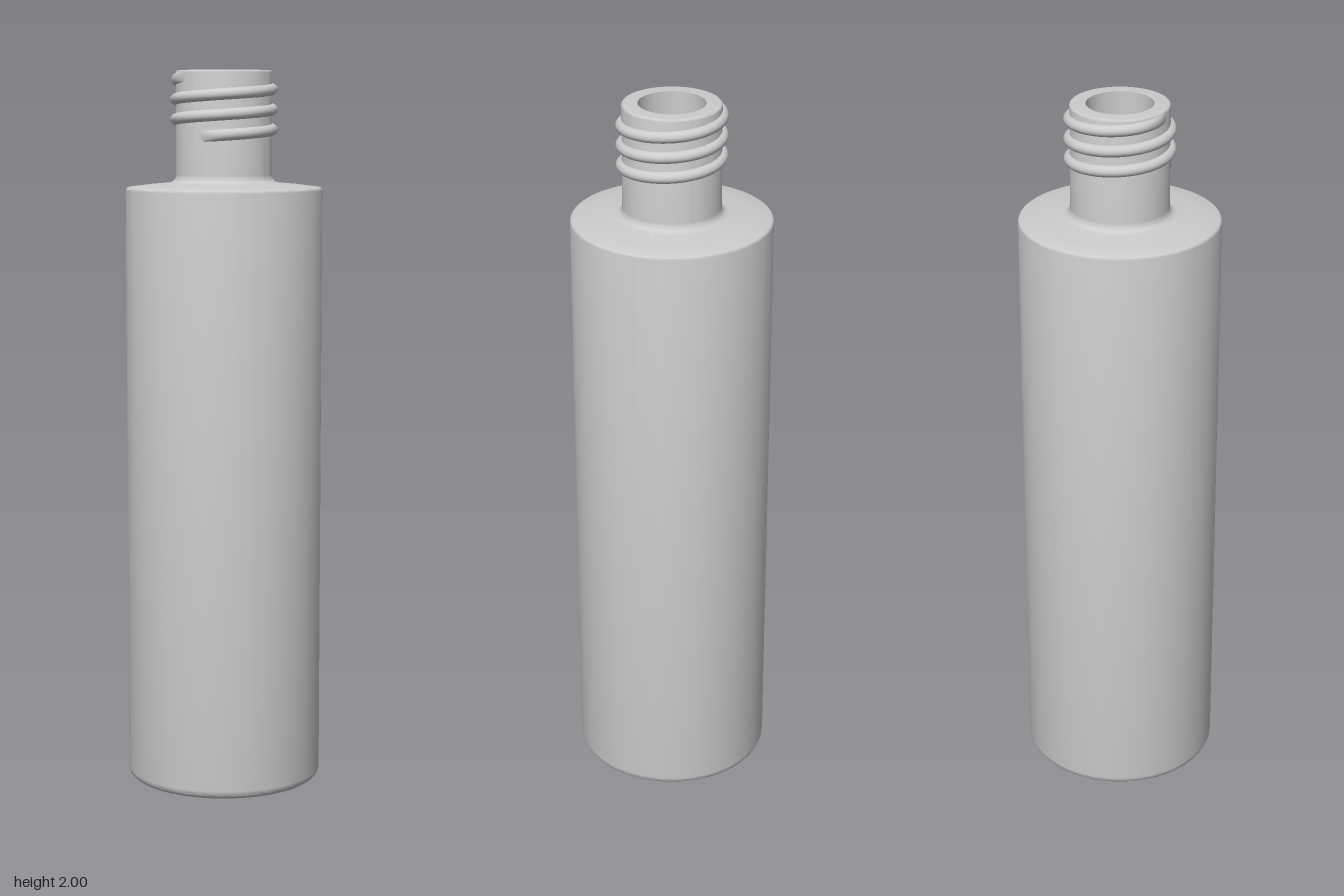
import * as THREE from 'three';
import { toCreasedNormals } from 'three/addons/utils/BufferGeometryUtils.js';

const material = new THREE.MeshStandardMaterial({ color: 0xcccccc });

// Adds a rounded corner to a profile: centre, radius, start and end angle
function arc(points, cx, cy, r, from, to, steps = 6) {
  for (let i = 0; i <= steps; i++) {
    const a = from + (to - from) * i / steps;
    points.push(new THREE.Vector2(cx + r * Math.cos(a), cy + r * Math.sin(a)));
  }
}

function addMesh(group, name, geometry) {
  const mesh = new THREE.Mesh(geometry, material);
  mesh.name = name;
  group.add(mesh);
}

// Hollow bottle: one closed profile, up the outside and down the inside
function bottleGeometry() {
  const P = Math.PI, p = [];
  const add = (x, y) => p.push(new THREE.Vector2(x, y));
  add(0, 0.005);
  add(0.235, 0.005);
  add(0.238, 0);
  arc(p, 0.247, 0.026, 0.026, -P / 2, 0);          // rounded foot
  arc(p, 0.265, 1.672, 0.008, 0, P * 0.46, 4);     // shoulder edge
  add(0.21, 1.687);
  arc(p, 0.155, 1.714, 0.022, -P / 2, -P, 6);      // fillet into the neck
  arc(p, 0.127, 1.994, 0.006, 0, P / 2, 4);        // lip
  add(0.09, 2);
  add(0.09, 1.66);
  arc(p, 0.22, 1.63, 0.02, P / 2, 0, 4);           // inner shoulder
  arc(p, 0.22, 0.06, 0.02, 0, -P / 2, 4);          // inner floor
  add(0, 0.04);
  return toCreasedNormals(new THREE.LatheGeometry(p, 96), 0.5);
}

// Rounded ridge climbing round the neck, fading out at both ends
function threadGeometry() {
  const turns = 2.95, pitch = 0.055, startY = 1.82, steps = 240, sides = 10;
  const pos = [], index = [];
  for (let i = 0; i <= steps; i++) {
    const turn = turns * i / steps, a = turn * Math.PI * 2;
    const fade = Math.min(1, turn / 0.12, (turns - turn) / 0.2);
    const grow = Math.sin(fade * Math.PI / 2);
    for (let j = 0; j <= sides; j++) {
      const b = -Math.PI / 2 + Math.PI * j / sides;
      const r = 0.131 + 0.018 * grow * Math.cos(b);
      const y = startY + pitch * turn + 0.016 * Math.sin(b);
      pos.push(r * Math.sin(a), y, r * Math.cos(a));
      if (i < steps && j < sides) {
        const k = i * (sides + 1) + j, n = k + sides + 1;
        index.push(k, n, k + 1, n, n + 1, k + 1);
      }
    }
  }
  const g = new THREE.BufferGeometry();
  g.setAttribute('position', new THREE.Float32BufferAttribute(pos, 3));
  g.setIndex(index);
  g.computeVertexNormals();
  return g;
}

export function createModel() {
  const group = new THREE.Group();
  group.name = 'bottle';
  addMesh(group, 'bottleBody', bottleGeometry());
  addMesh(group, 'neckThread', threadGeometry());
  return group;
}
